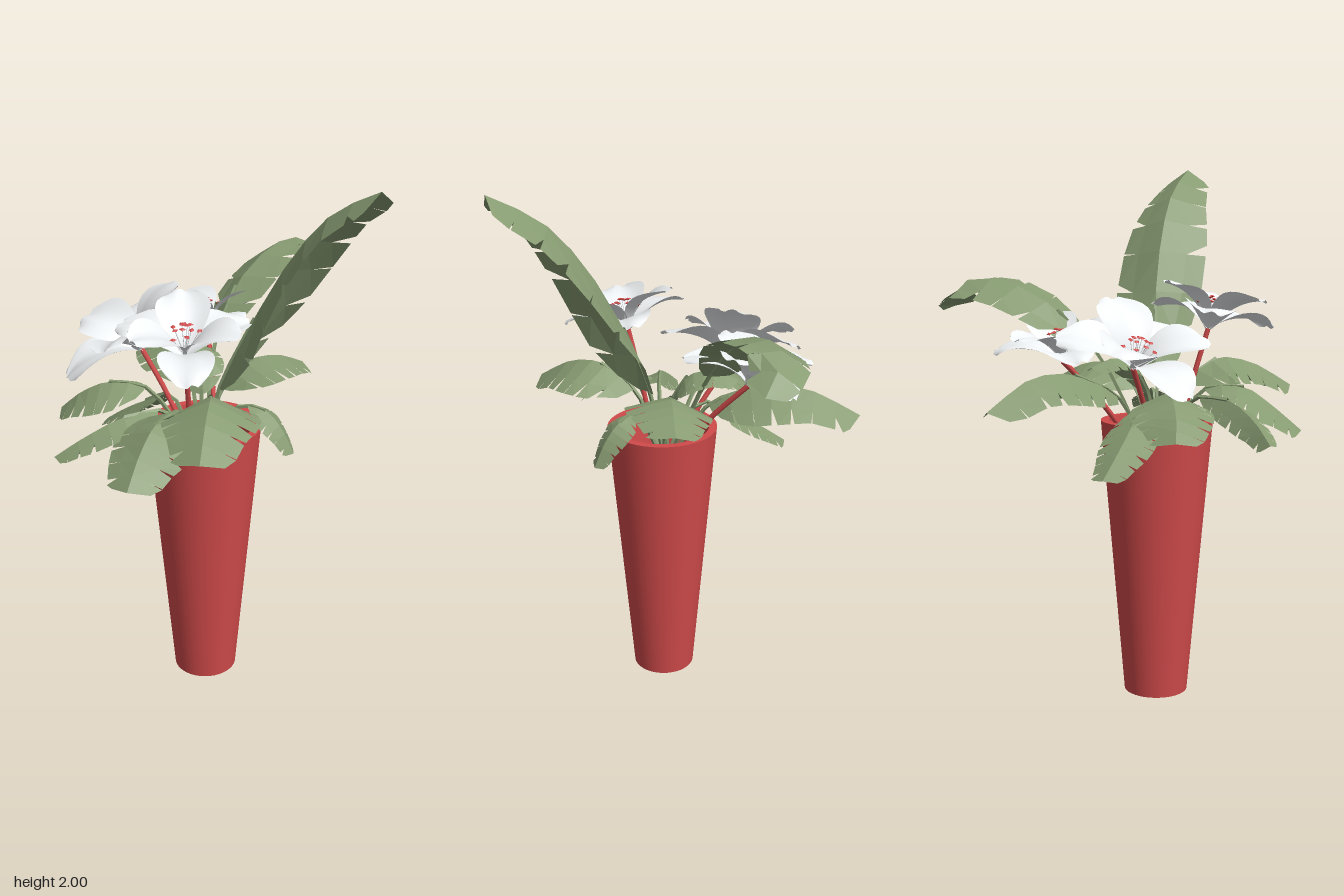
import * as THREE from 'three';

const V = (a) => new THREE.Vector3(...a);
const red = new THREE.MeshStandardMaterial({ color: 0xd04a4a, side: THREE.DoubleSide });
const green = new THREE.MeshStandardMaterial({ color: 0x879b72, side: THREE.DoubleSide, flatShading: true });
const white = new THREE.MeshStandardMaterial({ color: 0xf0f3f5, side: THREE.DoubleSide });

// Half width of a leaf along its blade: wide shoulders, slow taper, blunt tip
function leafProfile(t) {
  const shoulder = Math.min(1, 0.35 + t * 2.6);
  const taper = 1 - 0.4 * THREE.MathUtils.smoothstep(t, 0.45, 1);
  return shoulder * taper;
}

function add(parent, name, geometry, material) {
  const mesh = new THREE.Mesh(geometry, material);
  mesh.name = name;
  parent.add(mesh);
  return mesh;
}

// Torn leaf: a folded blade on a curved midrib, its edges cut by deep notches
function leafGeometry(points, width, fold, roll, start) {
  const rib = new THREE.CatmullRomCurve3(points.map(V));
  const pos = [];
  const n = 7, d = 1 / n;
  const at = (s, side, k) => {
    const t = Math.min(1, s);
    const u = start + (1 - start) * t;
    const tangent = rib.getTangent(u);
    const across = new THREE.Vector3(-tangent.z, 0, tangent.x).normalize().applyAxisAngle(tangent, roll);
    const normal = across.clone().cross(tangent);
    if (normal.y < 0) normal.negate();
    const w = width * leafProfile(t) * k;
    return rib.getPoint(u).addScaledVector(across, side * w * Math.cos(fold)).addScaledVector(normal, -w * Math.sin(fold));
  };
  const tri = (...p) => p.forEach((q) => pos.push(q.x, q.y, q.z));
  for (const side of [-1, 1]) {
    for (let i = 0; i < n; i++) {
      const a = i * d, b = a + d, last = i === n - 1;
      const gap = ((i * 5 + side + 1) % 3) * 0.14;
      const r0 = at(a, side, 0), r1 = at(b, side, 0);
      const m0 = at(a + 0.1 * d, side, 0.58), m1 = last ? r1 : at(b + 0.1 * d, side, 0.58);
      const o0 = at(a + (0.25 + gap) * d, side, 1), o1 = at(b + (last ? -0.25 : 0.2) * d, side, last ? 0.75 : 1);
      tri(r0, r1, m0);
      if (!last) tri(r1, m1, m0);
      tri(m0, m1, o0);
      tri(m1, o1, o0);
    }
  }
  const g = new THREE.BufferGeometry();
  g.setAttribute('position', new THREE.Float32BufferAttribute(pos, 3));
  g.computeVertexNormals();
  return g;
}

function addLeaf(parent, name, points, width, fold, roll, start) {
  const leaf = new THREE.Group();
  leaf.name = name;
  add(leaf, 'leafBlade', leafGeometry(points, width, fold, roll, start), green);
  const stalk = new THREE.CatmullRomCurve3(points.slice(0, 3).map(V));
  add(leaf, 'leafStalk', new THREE.TubeGeometry(stalk, 6, 0.008, 4), green);
  parent.add(leaf);
}

// Petal: a narrow-footed oval, cupped across and bending outward along +x
function petalGeometry(length, width, lift) {
  const g = new THREE.PlaneGeometry(1, 1, 10, 8);
  const p = g.attributes.position;
  for (let i = 0; i < p.count; i++) {
    const u = p.getX(i) + 0.5, v = p.getY(i) * 2;
    const w = width * (0.12 + 0.88 * Math.pow(Math.sin(Math.PI * Math.pow(u * 0.93, 1.3)), 0.7));
    const tip = 1 - 0.07 * u * v * v + 0.02 * u * Math.cos(v * 9);
    const a = lift - u * 0.6;
    p.setXYZ(i, length * u * tip * Math.cos(a),
      length * u * Math.sin(a) + 0.22 * width * v * v * Math.sin(Math.PI * u) + 0.006 * u * Math.sin(v * 5),
      -w * v);
  }
  g.computeVertexNormals();
  return g;
}

function addFlower(parent, name, center, axis, root, size, spin) {
  const flower = new THREE.Group();
  flower.name = name;
  const head = new THREE.Group();
  head.name = 'flowerHead';
  head.position.copy(V(center));
  head.quaternion.setFromUnitVectors(new THREE.Vector3(0, 1, 0), V(axis).normalize());
  // Three spreading petals below, three raised petals above
  for (let i = 0; i < 6; i++) {
    const upper = i % 2;
    const petal = add(head, 'petal', petalGeometry(size * (upper ? 0.92 : 1), size * 0.36, upper ? 1.15 : 0.8), white);
    petal.rotation.y = spin + i * Math.PI / 3;
    petal.position.y = upper * 0.008;
  }
  // Stamens fanning from the centre
  for (let i = 0; i < 11; i++) {
    const a = i * 2.4, r = 0.012 + 0.005 * i, h = 0.12 - 0.003 * i;
    const end = new THREE.Vector3(r * Math.cos(a), h, r * Math.sin(a));
    const line = new THREE.LineCurve3(new THREE.Vector3(), end);
    add(head, 'filament', new THREE.TubeGeometry(line, 1, 0.0012, 3), white);
    const anther = add(head, 'anther', new THREE.OctahedronGeometry(0.01), red);
    anther.position.copy(end);
    anther.scale.set(1.3, 0.5, 1);
    anther.rotation.y = a;
  }
  flower.add(head);
  // Stem
  const c = V(center), r = V(root);
  const middle = r.clone().lerp(c, 0.55).add(new THREE.Vector3(0, 0.02, 0));
  add(flower, 'flowerStem', new THREE.TubeGeometry(new THREE.CatmullRomCurve3([r, middle, c]), 8, 0.01, 6), red);
  parent.add(flower);
}

export function createModel() {
  const model = new THREE.Group();
  model.name = 'pottedPlant';

  // Tall tapered vase, hollow
  const rings = {
    vaseBase: [[0, 0], [0.12, 0]],
    vaseWall: [[0.12, 0], [0.21, 1.05]],
    vaseRim: [[0.21, 1.05], [0.18, 1.05]],
    vaseInside: [[0.18, 1.05], [0.1, 0.06], [0, 0.06]],
  };
  const vase = new THREE.Group();
  vase.name = 'vase';
  for (const [name, profile] of Object.entries(rings)) {
    add(vase, name, new THREE.LatheGeometry(profile.map(([x, y]) => new THREE.Vector2(x, y)), 40), red);
  }
  vase.position.set(-0.098, 0, 0.085);
  model.add(vase);

  // Leaves: midrib points, half width, fold, roll, start of the blade
  addLeaf(model, 'tallLeaf', [[-0.09, 0.92, 0.08], [-0.06, 1.2, 0.13], [0.03, 1.48, 0.22], [0.11, 1.74, 0.35], [0.17, 1.9, 0.48], [0.23, 2, 0.65]], 0.19, 0.5, 0, 0.2);
  addLeaf(model, 'archingLeaf', [[-0.07, 0.95, 0.05], [0.03, 1.28, -0.08], [0.17, 1.46, -0.17], [0.36, 1.56, -0.25], [0.53, 1.56, -0.31], [0.66, 1.46, -0.25]], 0.145, 0.3, -0.3, 0.22);
  addLeaf(model, 'backLeaf', [[-0.09, 0.95, 0.03], [-0.06, 1.15, -0.09], [-0.02, 1.24, -0.27], [0.01, 1.24, -0.45], [0.02, 1.14, -0.65]], 0.185, 0.55, 0, 0.25);
  addLeaf(model, 'leftLeaf', [[-0.08, 0.95, 0.08], [0, 1.18, 0.06], [0.12, 1.25, 0.05], [0.24, 1.24, 0.04], [0.35, 1.19, 0.03]], 0.17, 0.35, -0.15, 0.22);
  addLeaf(model, 'frontLeaf', [[-0.1, 0.95, 0.1], [-0.14, 1.18, 0.19], [-0.19, 1.27, 0.32], [-0.27, 1.25, 0.44], [-0.36, 1.16, 0.57]], 0.19, 0.45, 0, 0.25);
  addLeaf(model, 'rightLeaf', [[-0.12, 0.95, 0.08], [-0.26, 1.14, 0.1], [-0.42, 1.15, 0.1], [-0.56, 1.09, 0.07], [-0.66, 1.02, 0.03]], 0.09, 0.75, 0.3, 0.3);
  addLeaf(model, 'frontRightLeaf', [[-0.12, 0.95, 0.1], [-0.25, 1.17, 0.18], [-0.37, 1.18, 0.26], [-0.46, 1.11, 0.32], [-0.54, 1.02, 0.39]], 0.17, 0.4, 0, 0.25);
  addLeaf(model, 'backRightLeaf', [[-0.13, 0.95, 0.05], [-0.26, 1.17, -0.06], [-0.37, 1.18, -0.15], [-0.45, 1.13, -0.22], [-0.51, 1.05, -0.29]], 0.16, 0.4, 0, 0.25);
  addLeaf(model, 'droopingLeaf', [[-0.12, 0.95, 0.05], [-0.16, 1.12, -0.06], [-0.21, 1.06, -0.18], [-0.25, 0.99, -0.29], [-0.28, 0.91, -0.4]], 0.11, 0.35, 0, 0.33);
  addLeaf(model, 'smallFrontLeaf', [[-0.08, 0.95, 0.1], [0, 1.14, 0.18], [0.07, 1.13, 0.24], [0.11, 1.07, 0.29], [0.14, 0.98, 0.33]], 0.08, 0.4, 0, 0.33);
  addLeaf(model, 'innerLeaf', [[-0.1, 0.95, 0.07], [-0.09, 1.15, 0.05], [-0.07, 1.26, -0.01], [-0.05, 1.29, -0.1], [-0.03, 1.26, -0.2]], 0.11, 0.4, 0, 0.25);

  // Flowers: centre, facing direction, stem root, petal length, spin
  addFlower(model, 'frontFlower', [-0.235, 1.39, 0.215], [-0.1, 0.95, 0.18], [-0.16, 0.92, 0.11], 0.265, 0.1);
  addFlower(model, 'rightFlower', [-0.22, 1.27, -0.18], [-0.42, 0.85, -0.12], [-0.12, 0.92, 0.05], 0.3, 0.85);
  addFlower(model, 'backFlower', [0.08, 1.28, -0.23], [-0.03, 0.92, -0.2], [-0.03, 0.92, 0.06], 0.26, 0.5);
  return model;
}
